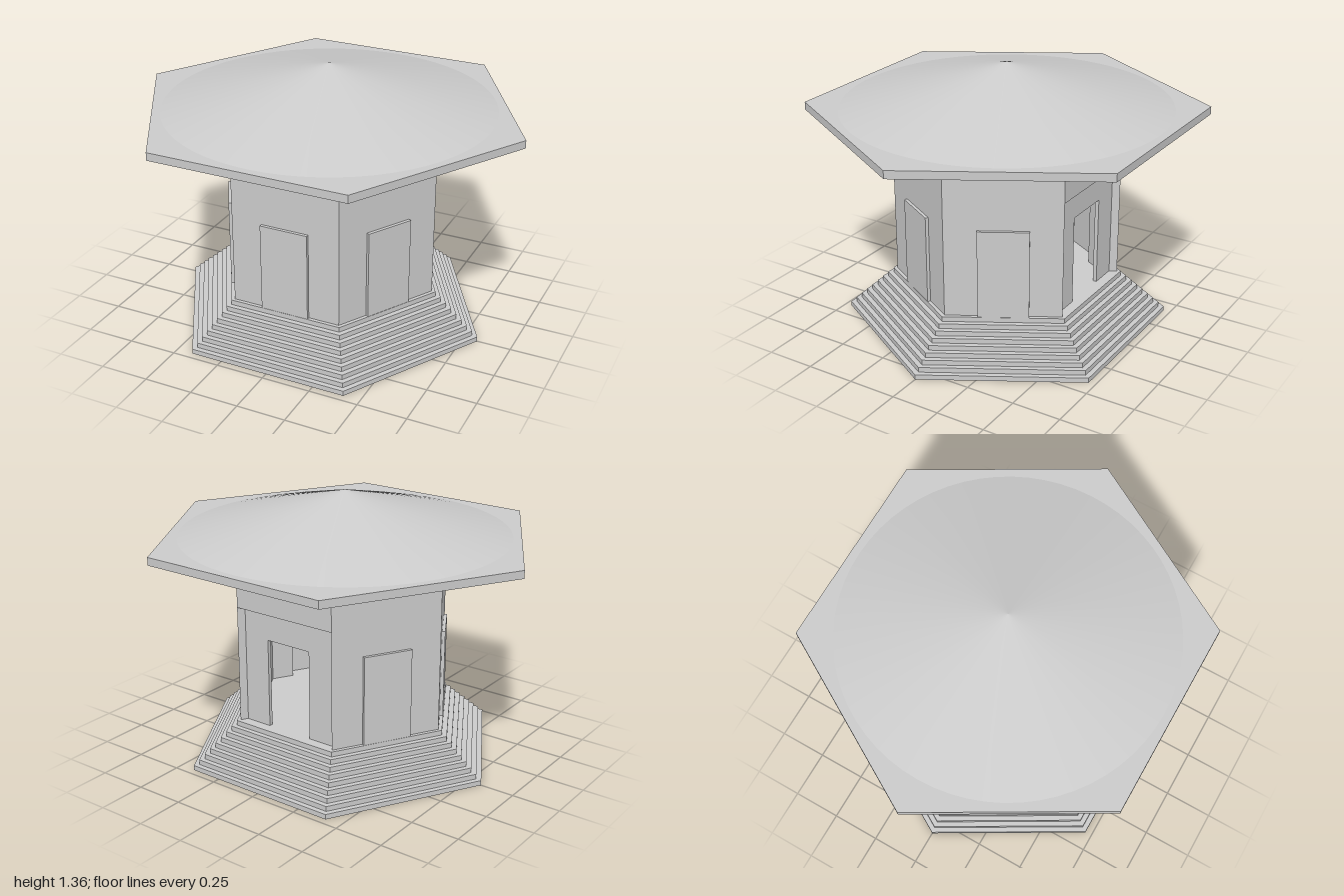
import * as THREE from 'three';

const flat = new THREE.MeshStandardMaterial({ color: 0xcccccc, flatShading: true });
const smooth = new THREE.MeshStandardMaterial({ color: 0xcccccc });
const TAN30 = Math.tan(Math.PI / 6);
const FLOOR = 0.23, EAVES = 1.1, LINTEL = 0.83;
const DOOR_TOP = 0.685, DOOR_HALF = 0.125;
const OUTER = 0.495, INNER = 0.42; // distances from the axis to the wall faces

function add(parent, name, geometry, material = flat) {
  const mesh = new THREE.Mesh(geometry, material);
  mesh.name = name;
  parent.add(mesh);
  return mesh;
}

// Hexagonal slab with corners on the x axis
function hexSlab(radius, y0, y1) {
  return new THREE.CylinderGeometry(radius, radius, y1 - y0, 6)
    .rotateY(Math.PI / 6)
    .translate(0, (y0 + y1) / 2, 0);
}

// One side of the hexagonal wall facing +z, with mitred ends and an optional doorway
function wallSide(inner, outer, y0, y1, doorway) {
  const w = outer * TAN30;
  const points = [[-w, y0]];
  if (doorway) {
    points.push([-DOOR_HALF, y0], [-DOOR_HALF, DOOR_TOP], [DOOR_HALF, DOOR_TOP], [DOOR_HALF, y0]);
  }
  points.push([w, y0], [w, y1], [-w, y1]);
  const shape = new THREE.Shape(points.map(([x, y]) => new THREE.Vector2(x, y)));
  const geometry = new THREE.ExtrudeGeometry(shape, { depth: outer - inner, bevelEnabled: false });
  geometry.translate(0, 0, inner);
  const p = geometry.attributes.position;
  for (let i = 0; i < p.count; i++) {
    if (Math.abs(p.getX(i)) > 0.2) p.setX(i, Math.sign(p.getX(i)) * p.getZ(i) * TAN30);
  }
  geometry.computeVertexNormals();
  return geometry;
}

export function createModel() {
  const model = new THREE.Group();
  model.name = 'hexagonalPavilion';

  // Stepped base
  const base = new THREE.Group();
  base.name = 'steppedBase';
  model.add(base);
  const steps = 9;
  for (let i = 0; i < steps; i++) {
    const radius = THREE.MathUtils.lerp(0.825, 0.592, i / (steps - 1));
    add(base, 'step', hexSlab(radius, (FLOOR * i) / steps, (FLOOR * (i + 1)) / steps));
  }

  // Five walls with closed doors, one open side at the back
  for (let i = 0; i < 6; i++) {
    const side = new THREE.Group();
    side.name = i === 3 ? 'openBackSide' : 'doorSide';
    side.rotation.y = (i * Math.PI) / 3;
    model.add(side);
    if (i === 3) {
      add(side, 'lintel', wallSide(INNER, OUTER, LINTEL, EAVES, false));
      add(side, 'recessedWall', wallSide(0.44, 0.46, FLOOR, LINTEL, true));
    } else {
      add(side, 'wall', wallSide(INNER, OUTER, FLOOR, EAVES, true));
      const door = new THREE.BoxGeometry(2 * DOOR_HALF, DOOR_TOP - FLOOR, 0.03);
      add(side, 'door', door.translate(0, (DOOR_TOP + FLOOR) / 2, 0.496));
    }
  }

  // Roof: hexagonal plate with a shallow round cone
  add(model, 'roofPlate', hexSlab(1, EAVES, 1.14));
  add(model, 'roofCone', new THREE.ConeGeometry(0.825, 0.22, 64).translate(0, 1.25, 0), smooth);

  return model;
}
